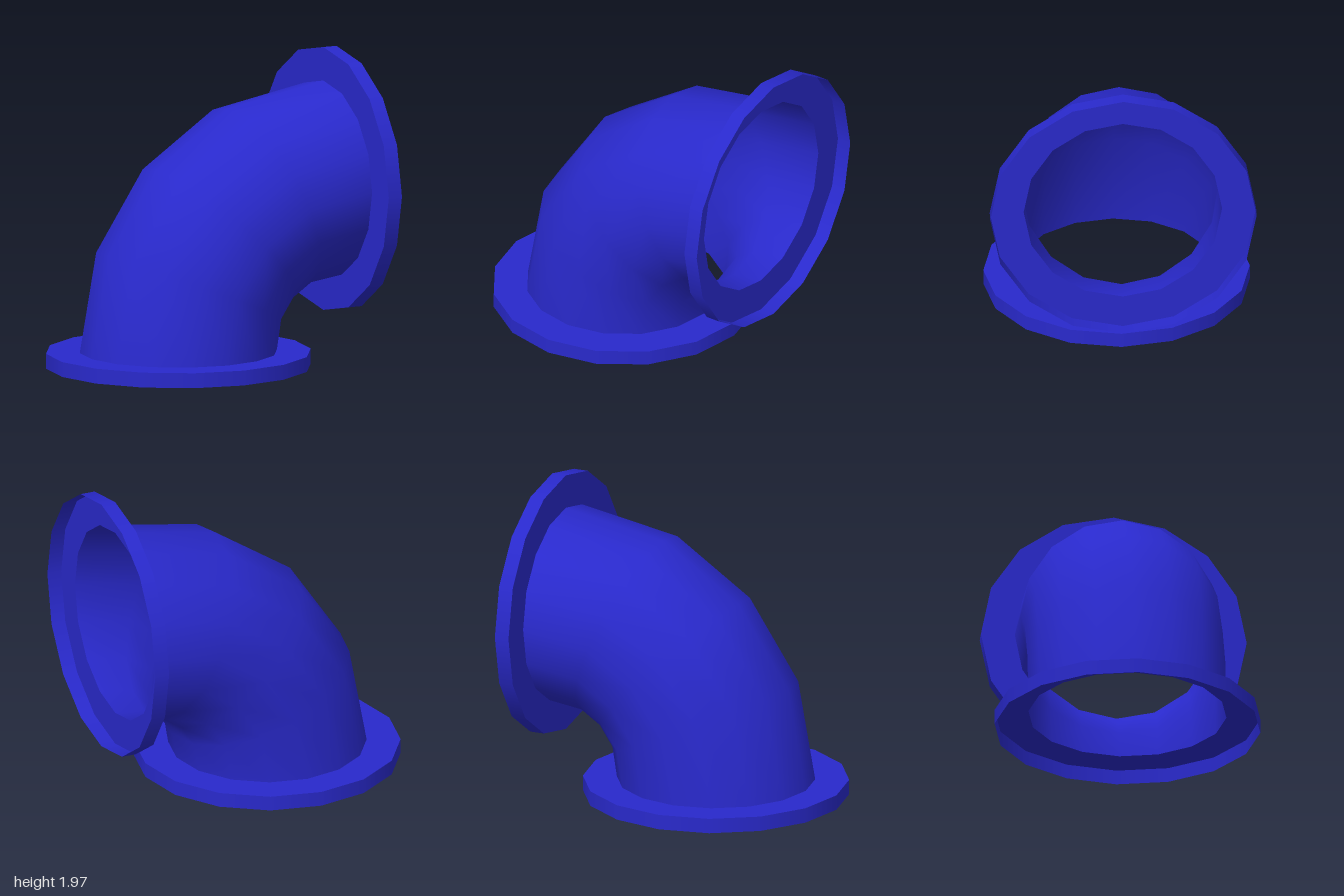
import * as THREE from 'three';
import { mergeGeometries } from 'three/addons/utils/BufferGeometryUtils.js';

const SIDES = 16, PIPE_R = 0.631, FLANGE_R = 0.847, THICK = 0.096;
const BEND = { x: 0.834, y: 0.133, r: 0.987, steps: 4 };

// Hollow flange: a smooth rim and a flat ring on the pipe side, open at the outer face
function flangeGeometry() {
  const profile = [[FLANGE_R, 0], [FLANGE_R, THICK], [PIPE_R, THICK]]
    .map(([r, y]) => new THREE.Vector2(r, y));
  return mergeGeometries([
    new THREE.LatheGeometry(profile.slice(0, 2), SIDES),
    new THREE.LatheGeometry(profile.slice(1), SIDES),
  ]);
}

// Quarter-turn tube, its first and last rings moved to meet the flanges
function elbowGeometry() {
  const positions = [], index = [];
  for (let i = 0; i <= BEND.steps; i++) {
    const t = (i / BEND.steps) * Math.PI / 2;
    const dx = i === BEND.steps ? 1 - THICK - BEND.x : 0;
    const dy = i === 0 ? THICK - BEND.y : 0;
    for (let j = 0; j < SIDES; j++) {
      const p = (j / SIDES) * Math.PI * 2;
      const d = BEND.r + PIPE_R * Math.cos(p);
      positions.push(BEND.x + dx - d * Math.cos(t), BEND.y + dy + d * Math.sin(t), PIPE_R * Math.sin(p));
      if (i < BEND.steps) {
        const k = (j + 1) % SIDES;
        const a = i * SIDES + j, b = i * SIDES + k, c = a + SIDES, e = b + SIDES;
        index.push(a, b, c, b, e, c);
      }
    }
  }
  const geometry = new THREE.BufferGeometry();
  geometry.setAttribute('position', new THREE.Float32BufferAttribute(positions, 3));
  geometry.setIndex(index);
  geometry.computeVertexNormals();
  return geometry;
}

export function createModel() {
  const group = new THREE.Group();
  group.name = 'pipeElbow';
  const blue = new THREE.MeshStandardMaterial({ color: 0x2929cc, side: THREE.DoubleSide });
  blue.name = 'blue';

  const add = (name, geometry) => {
    const mesh = new THREE.Mesh(geometry, blue);
    mesh.name = name;
    group.add(mesh);
    return mesh;
  };

  // Curved pipe
  add('elbowPipe', elbowGeometry());

  // Flange on the ground and flange at the side opening
  const flange = flangeGeometry();
  add('baseFlange', flange).position.set(BEND.x - BEND.r, 0, 0);
  const outlet = add('outletFlange', flange);
  outlet.rotation.z = Math.PI / 2;
  outlet.position.set(1, BEND.y + BEND.r, 0);

  return group;
}
